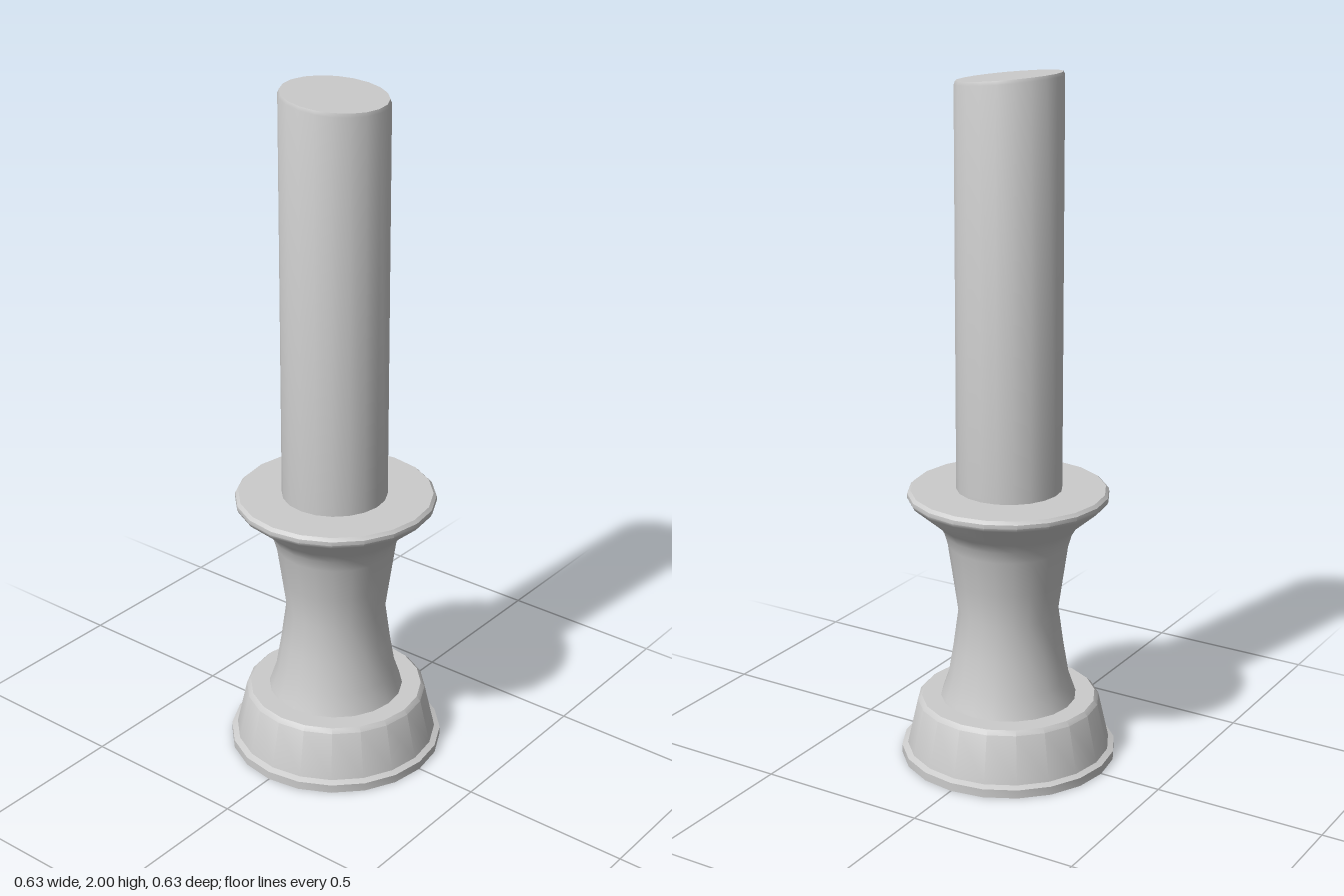
import * as THREE from 'three';
import { toCreasedNormals } from 'three/addons/utils/BufferGeometryUtils.js';

const SIDES = 20;
const material = new THREE.MeshStandardMaterial({ color: 0xcccccc });

// Turned part from a [radius, height] profile, listed bottom to top
function turned(name, profile, reshape) {
  const points = profile.map(([r, y]) => new THREE.Vector2(r, y));
  const geometry = new THREE.LatheGeometry(points, SIDES);
  if (reshape) reshape(geometry.attributes.position);
  const mesh = new THREE.Mesh(toCreasedNormals(geometry, 0.6), material);
  mesh.name = name;
  return mesh;
}

export function createModel() {
  const group = new THREE.Group();
  group.name = 'candlestick';

  // Wide foot with a thin bottom lip and a bevelled shoulder
  group.add(turned('foot', [
    [0, 0], [0.315, 0], [0.315, 0.025], [0.298, 0.032],
    [0.267, 0.17], [0.255, 0.182], [0, 0.182],
  ]));

  // Waisted stem flaring into the drip tray
  group.add(turned('stemAndTray', [
    [0.2, 0.178], [0.196, 0.19], [0.177, 0.245], [0.161, 0.34], [0.146, 0.45],
    [0.16, 0.55], [0.175, 0.655], [0.185, 0.69], [0.203, 0.72],
    [0.285, 0.79], [0.29, 0.8], [0.289, 0.811], [0.28, 0.82], [0, 0.82],
  ]));

  // Candle, very slightly tapered, with a slanted top
  const candle = turned('candle', [
    [0.152, 0.81], [0.15, 1.975], [0.146, 1.985], [0, 1.985],
  ], (p) => {
    for (let i = 0; i < p.count; i++) {
      if (p.getY(i) > 1.5) p.setY(i, p.getY(i) - 0.1 * p.getX(i));
    }
  });
  candle.position.z = 0.005;
  group.add(candle);

  return group;
}
